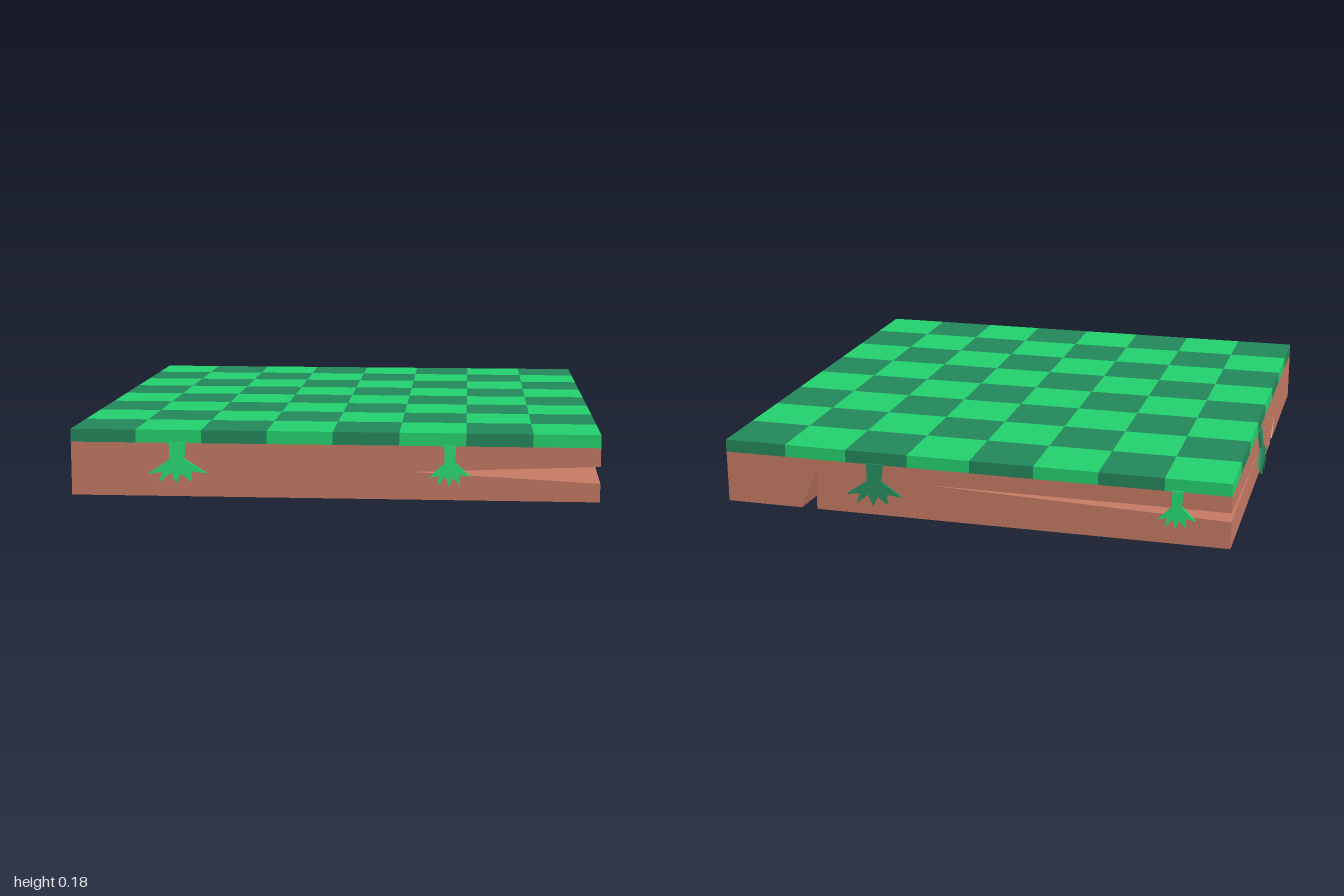
import * as THREE from 'three';
import { mergeGeometries } from 'three/addons/utils/BufferGeometryUtils.js';

const H = Math.SQRT1_2;   // half side of the square tile
const SOIL = 0.145;       // soil height
const TOP = 0.18;         // top of the grass

const soil = new THREE.MeshStandardMaterial({ color: 0xc27862, flatShading: true, side: THREE.DoubleSide });
soil.name = 'soil';
const lightGrass = new THREE.MeshStandardMaterial({ color: 0x23cf6d, flatShading: true });
lightGrass.name = 'lightGrass';
const darkGrass = new THREE.MeshStandardMaterial({ color: 0x23865a, flatShading: true });
darkGrass.name = 'darkGrass';

// Walls in order: front left, front right, back right, back left
const angle = (wall) => -Math.PI / 4 + wall * Math.PI / 2;
const along = (f) => (f * 2 - 1) * H;

// Point on a wall: f runs 0..1 from left to right seen from outside, d goes inwards
function wallPoint(wall, f, y, d = 0) {
  return new THREE.Vector3(along(f), y, H - d).applyAxisAngle(new THREE.Vector3(0, 1, 0), angle(wall));
}

// Corner cracks cut wedges: the right end of one wall and the left end of the next
const cracks = [
  { wall: 1, tip: [0.65, 0.075], next: 2, nextTip: [0.5, 0.1], low: 0.05, high: 0.095 },
  { wall: 3, tip: [0.42, 0.1], next: 0, nextTip: [0.37, 0.08], low: 0.075, high: 0.1 },
];
// Notches break the bottom edge
const notches = [
  { wall: 0, from: 0.625, to: 0.665, tip: [0.695, 0.07], inner: [0.6, 0.21] },
  { wall: 3, from: 0.155, to: 0.187, tip: [0.19, 0.12], inner: [0.16, 0.13] },
];

function addMesh(group, geometry, material, name) {
  const mesh = new THREE.Mesh(geometry, material);
  mesh.name = name;
  group.add(mesh);
  return mesh;
}

// One soil wall, outlined around its cracks and notch
function wallGeometry(wall) {
  const pts = [[0, 0]];
  for (const n of notches) if (n.wall === wall) pts.push([n.from, 0], n.tip, [n.to, 0]);
  pts.push([1, 0]);
  for (const c of cracks) if (c.wall === wall) pts.push([1, c.low], c.tip, [1, c.high]);
  pts.push([1, SOIL], [0, SOIL]);
  for (const c of cracks) if (c.next === wall) pts.push([0, c.high], c.nextTip, [0, c.low]);
  const shape = new THREE.Shape(pts.map(([f, y]) => new THREE.Vector2(along(f), y)));
  return new THREE.ShapeGeometry(shape).translate(0, 0, H).rotateY(angle(wall));
}

// Underside with the notches cut into its edge
function bottomGeometry() {
  const pts = [];
  for (let w = 0; w < 4; w++) {
    pts.push(wallPoint(w, 0, 0));
    for (const n of notches) {
      if (n.wall === w) pts.push(wallPoint(w, n.from, 0), wallPoint(w, n.inner[0], 0, n.inner[1]), wallPoint(w, n.to, 0));
    }
  }
  const shape = new THREE.Shape(pts.map((p) => new THREE.Vector2(p.x, p.z)));
  return new THREE.ShapeGeometry(shape).rotateX(Math.PI / 2);
}

// Inner faces of cracks and notches
function crackGeometry() {
  const pts = [];
  for (const c of cracks) {
    const a = wallPoint(c.wall, ...c.tip);
    const b = wallPoint(c.next, ...c.nextTip);
    pts.push(wallPoint(c.wall, 1, c.low), b, a);
    pts.push(wallPoint(c.wall, 1, c.high), a, b);
  }
  for (const n of notches) {
    const up = wallPoint(n.wall, ...n.tip);
    const inside = wallPoint(n.wall, n.inner[0], 0, n.inner[1]);
    pts.push(wallPoint(n.wall, n.from, 0), inside, up);
    pts.push(wallPoint(n.wall, n.to, 0), up, inside);
  }
  const geometry = new THREE.BufferGeometry().setFromPoints(pts);
  geometry.computeVertexNormals();
  return geometry;
}

// Hanging grass tuft: a stem that splits into prongs leaning away from the wall
const tuftOutline = [
  [-0.28, 0], [-0.26, -0.42], [-1, -0.78], [-0.5, -0.72], [-0.6, -0.98], [-0.2, -0.74], [-0.02, -1],
  [0.14, -0.76], [0.5, -0.95], [0.45, -0.7], [1, -0.74], [0.24, -0.4], [0.3, 0],
];
function tuftGeometry(width, height) {
  const shape = new THREE.Shape(tuftOutline.map(([x, y]) => new THREE.Vector2(x * width / 2, y * height)));
  const geometry = new THREE.ExtrudeGeometry(shape, { depth: 0.008, bevelEnabled: false });
  const pos = geometry.attributes.position;
  for (let i = 0; i < pos.count; i++) {
    pos.setZ(i, pos.getZ(i) - 0.002 - 0.014 * pos.getY(i) / height);
  }
  geometry.computeVertexNormals();
  return geometry;
}

export function createModel() {
  const model = new THREE.Group();
  model.name = 'groundTile';

  const soilBlock = new THREE.Group();
  soilBlock.name = 'soilBlock';
  model.add(soilBlock);
  for (let w = 0; w < 4; w++) addMesh(soilBlock, wallGeometry(w), soil, 'soilWall');
  addMesh(soilBlock, bottomGeometry(), soil, 'soilBottom');
  addMesh(soilBlock, crackGeometry(), soil, 'crackFaces');

  // Checkered grass layer
  const step = 2 * H / 8;
  const squares = [[], []];
  for (let i = 0; i < 8; i++) {
    for (let j = 0; j < 8; j++) {
      const box = new THREE.BoxGeometry(step, TOP - SOIL, step);
      box.translate((i - 3.5) * step, (TOP + SOIL) / 2, (j - 3.5) * step);
      squares[(i + j) % 2].push(box);
    }
  }
  [lightGrass, darkGrass].forEach((material, k) => {
    addMesh(model, mergeGeometries(squares[k]).rotateY(Math.PI / 4), material, k ? 'darkSquares' : 'lightSquares');
  });

  // Tufts: wall, position along it, width, height, colour
  const tufts = [
    [0, 0.4, 0.17, 0.12, darkGrass],
    [1, 0.205, 0.16, 0.11, lightGrass],
    [1, 0.72, 0.11, 0.11, lightGrass],
    [2, 0.685, 0.16, 0.08, darkGrass],
    [3, 0.31, 0.16, 0.115, darkGrass],
    [3, 0.9, 0.1, 0.1, lightGrass],
  ];
  for (const [w, f, width, height, material] of tufts) {
    const tuft = addMesh(model, tuftGeometry(width, height), material, 'grassTuft');
    tuft.position.copy(wallPoint(w, f, SOIL + 0.003));
    tuft.rotation.y = angle(w);
  }
  return model;
}
